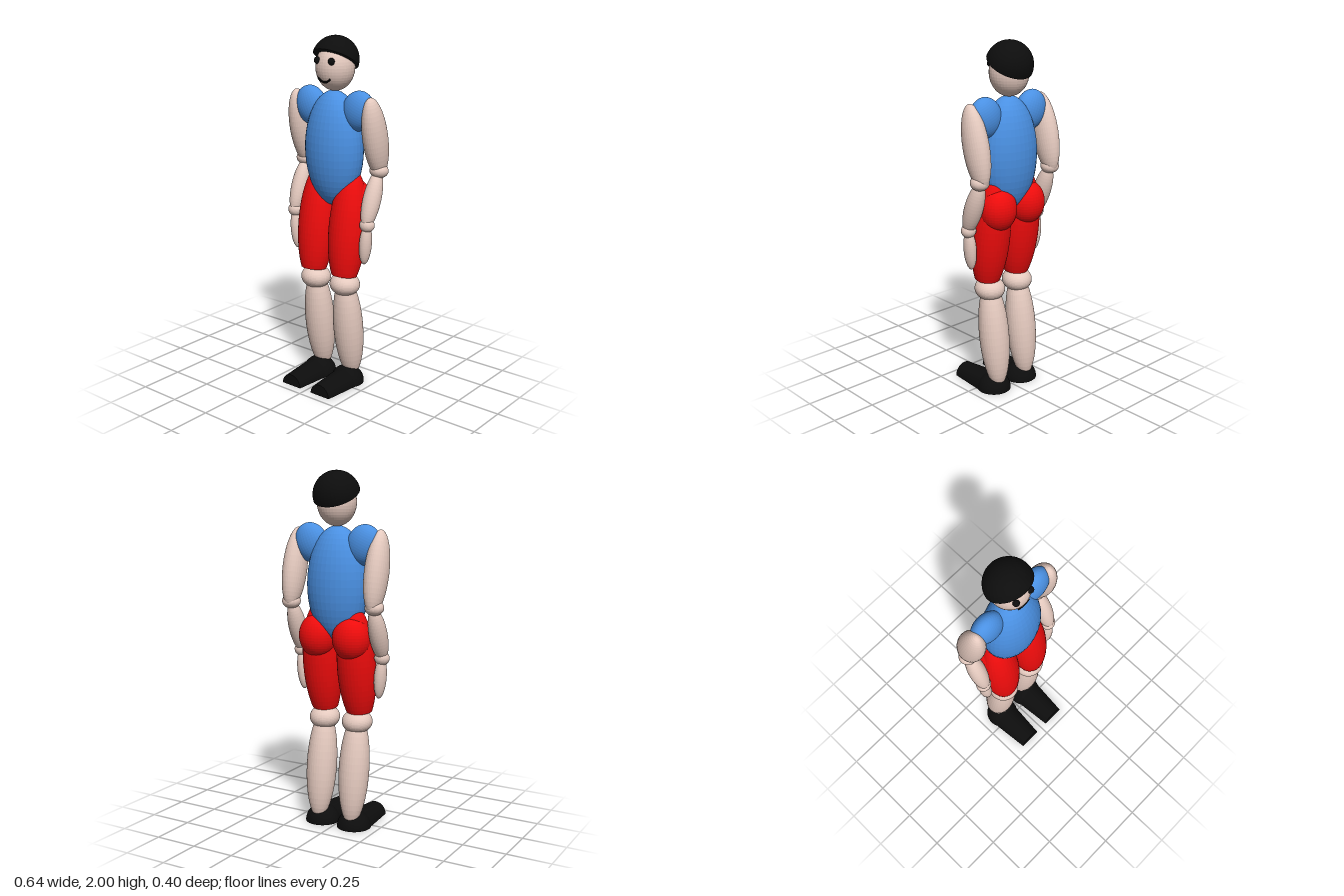
import * as THREE from 'three';

const mat = (color) => new THREE.MeshStandardMaterial({ color, flatShading: true });

export function createModel() {
  const model = new THREE.Group();
  const skin = mat(0xe5cabf), blue = mat(0x4a90e2), red = mat(0xee0c0c), black = mat(0x0d0d0d);

  const place = (parent, name, geo, material, pos, rot = [0, 0, 0]) => {
    const mesh = new THREE.Mesh(geo, material);
    mesh.name = name;
    mesh.position.set(...pos);
    mesh.rotation.set(...rot);
    parent.add(mesh);
    return mesh;
  };
  const ball = (parent, name, material, pos, radii, rot) =>
    place(parent, name, new THREE.SphereGeometry(1, 36, 24).scale(...radii), material, pos, rot);

  // Ellipsoid cut flat across the bottom, cut given as height / radius, closed by a disc
  const cutBall = (parent, name, material, pos, radii, rot, cut = 0) => {
    const dome = new THREE.SphereGeometry(1, 36, 24, 0, Math.PI * 2, 0, Math.acos(cut));
    const disc = new THREE.CircleGeometry(Math.sqrt(1 - cut * cut), 36).rotateX(Math.PI / 2).translate(0, cut, 0);
    place(parent, name, dome.scale(...radii), material, pos, rot);
    place(parent, name + 'Base', disc.scale(...radii), material, pos, rot);
  };

  // Head with a tilted cap of hair
  const head = new THREE.Group();
  head.name = 'head';
  model.add(head);
  const hc = [0, 1.83, -0.07], hr = [0.108, 0.13, 0.11];
  ball(head, 'face', skin, hc, hr);
  cutBall(head, 'hair', black, [0, 1.87, -0.072], [0.13, 0.13, 0.13], [-Math.PI / 6, 0, 0]);

  // Smile follows the surface of the face
  const smile = [];
  for (let i = -4; i <= 4; i++) {
    const t = i / 4, x = 0.043 * t, y = 1.755 + 0.022 * t * t;
    const k = 1 - (x / hr[0]) ** 2 - ((y - hc[1]) / hr[1]) ** 2;
    smile.push(new THREE.Vector3(x, y, hc[2] + hr[2] * Math.sqrt(k) + 0.003));
  }
  place(head, 'smile', new THREE.TubeGeometry(new THREE.CatmullRomCurve3(smile), 20, 0.006, 8), black, [0, 0, 0]);

  ball(model, 'torso', blue, [0, 1.38, -0.062], [0.18, 0.325, 0.134]);

  // Paired parts
  for (const s of [1, -1]) {
    const side = s > 0 ? 'left' : 'right';
    const add = (n, m, [x, y, z], r, [rx, rz] = [0, 0]) =>
      ball(model, side + n, m, [x * s, y, z], r, [rx, 0, rz * s]);

    ball(head, side + 'Eye', black, [0.049 * s, 1.87, 0.025], [0.018, 0.02, 0.018]);

    // Arm
    add('Shoulder', blue, [0.165, 1.605, -0.065], [0.1, 0.113, 0.065], [0, -0.4]);
    add('UpperArm', skin, [0.258, 1.465, -0.093], [0.064, 0.23, 0.08], [0.23, 0]);
    add('Elbow', skin, [0.263, 1.28, -0.125], [0.053, 0.042, 0.051], [-0.1, 0]);
    add('Forearm', skin, [0.258, 1.125, -0.07], [0.05, 0.165, 0.053], [-0.36, 0]);
    add('Wrist', skin, [0.259, 0.99, -0.027], [0.043, 0.04, 0.04], [-0.2, 0]);
    add('Hand', skin, [0.25, 0.88, -0.027], [0.034, 0.12, 0.038], [0, -0.08]);

    // Leg
    cutBall(model, side + 'Thigh', red, [0.111 * s, 0.93, -0.045], [0.111, 0.35, 0.103], [-0.12, 0, 0], -0.745);
    add('Buttock', red, [0.107, 1.095, -0.098], [0.108, 0.125, 0.1]);
    add('Knee', skin, [0.106, 0.613, -0.028], [0.087, 0.067, 0.086], [-0.1, 0]);
    add('Shin', skin, [0.106, 0.34, -0.063], [0.087, 0.32, 0.085], [0.12, 0]);

    // Shoe: domed heel and a tapering half-round toe with a flat sole
    const zBack = -0.055, zToe = 0.2, wBack = 0.09, wToe = 0.066, len = zToe - zBack;
    cutBall(model, side + 'Heel', black, [0.104 * s, 0, -0.058], [0.098, 0.096, 0.098], [0, 0, 0]);
    const toe = new THREE.CylinderGeometry(wToe, wBack, len, 24, 1, false, Math.PI / 2, Math.PI).rotateX(Math.PI / 2);
    place(model, side + 'Toe', toe, black, [0.106 * s, 0, zBack + len / 2]);
    const sole = new THREE.Shape([[-wBack, zBack], [wBack, zBack], [wToe, zToe], [-wToe, zToe]].map((p) => new THREE.Vector2(...p)));
    place(model, side + 'Sole', new THREE.ShapeGeometry(sole).rotateX(Math.PI / 2), black, [0.106 * s, 0, 0]);
  }
  return model;
}
